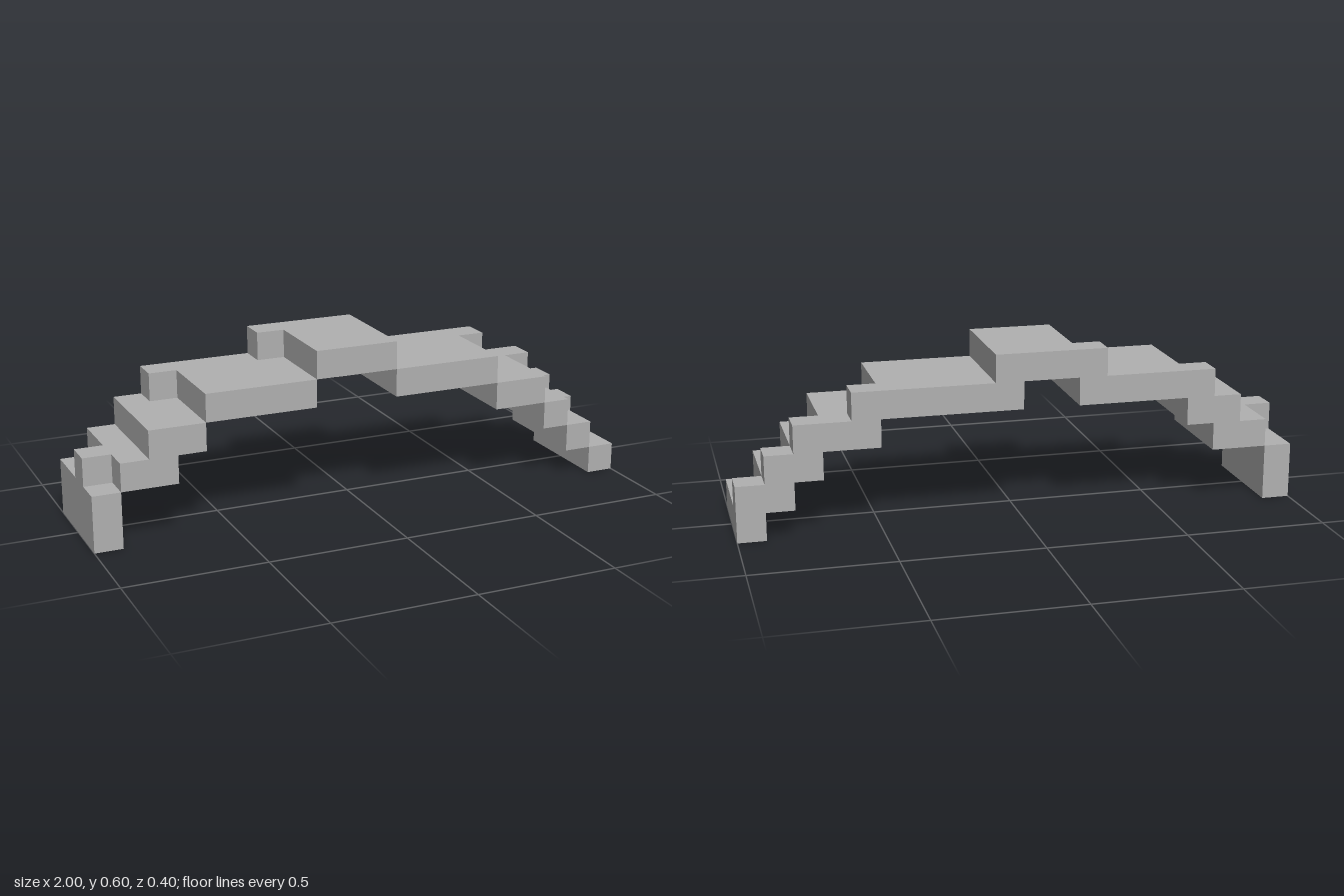
import * as THREE from 'three';

const U = 0.1; // edge of one building block
const BACK = -2, FRONT = 2; // depth limits in blocks

export function createModel() {
  const model = new THREE.Group();
  model.name = 'steppedArchBridge';
  const stone = new THREE.MeshStandardMaterial({ color: 0xb0b0b0, flatShading: true });
  stone.name = 'grey stone';

  // Box given by its limits in block units
  function slab(name, x0, x1, y0, y1, z0 = BACK, z1 = FRONT) {
    const geo = new THREE.BoxGeometry((x1 - x0) * U, (y1 - y0) * U, (z1 - z0) * U);
    geo.translate((x0 + x1) / 2 * U, (y0 + y1) / 2 * U, (z0 + z1) / 2 * U);
    const mesh = new THREE.Mesh(geo, stone);
    mesh.name = name;
    model.add(mesh);
  }

  // Full-depth slabs: x start, x end, bottom level, top level
  const slabs = [
    ['rightFoot', -10, -9, 0, 2],
    ['rightLowerStep', -9, -7, 2, 3],
    ['rightUpperStep', -8, -6, 3, 4],
    ['rightDeck', -6, -2, 4, 5],
    ['crown', -2, 1, 5, 6],
    ['leftDeck', 1, 5, 4, 5],
    ['leftUpperStep', 5, 7, 3, 4],
    ['leftMiddleStep', 7, 8, 2, 3],
    ['leftLowerStep', 8, 9, 1, 2],
    ['leftFoot', 9, 10, 0, 1],
  ];
  for (const s of slabs) slab(...s);

  // Single blocks along the back edge that tie neighbouring slabs: x start, level
  const ties = [[-7, 4], [-3, 5], [0, 4], [5, 4], [7, 3], [8, 2], [9, 1]];
  for (const [x, y] of ties) slab('backEdgeBlock', x, x + 1, y, y + 1, BACK, BACK + 1);

  // Lone block on top of the right foot
  slab('footBlock', -10, -9, 2, 3, 0, 1);

  return model;
}
